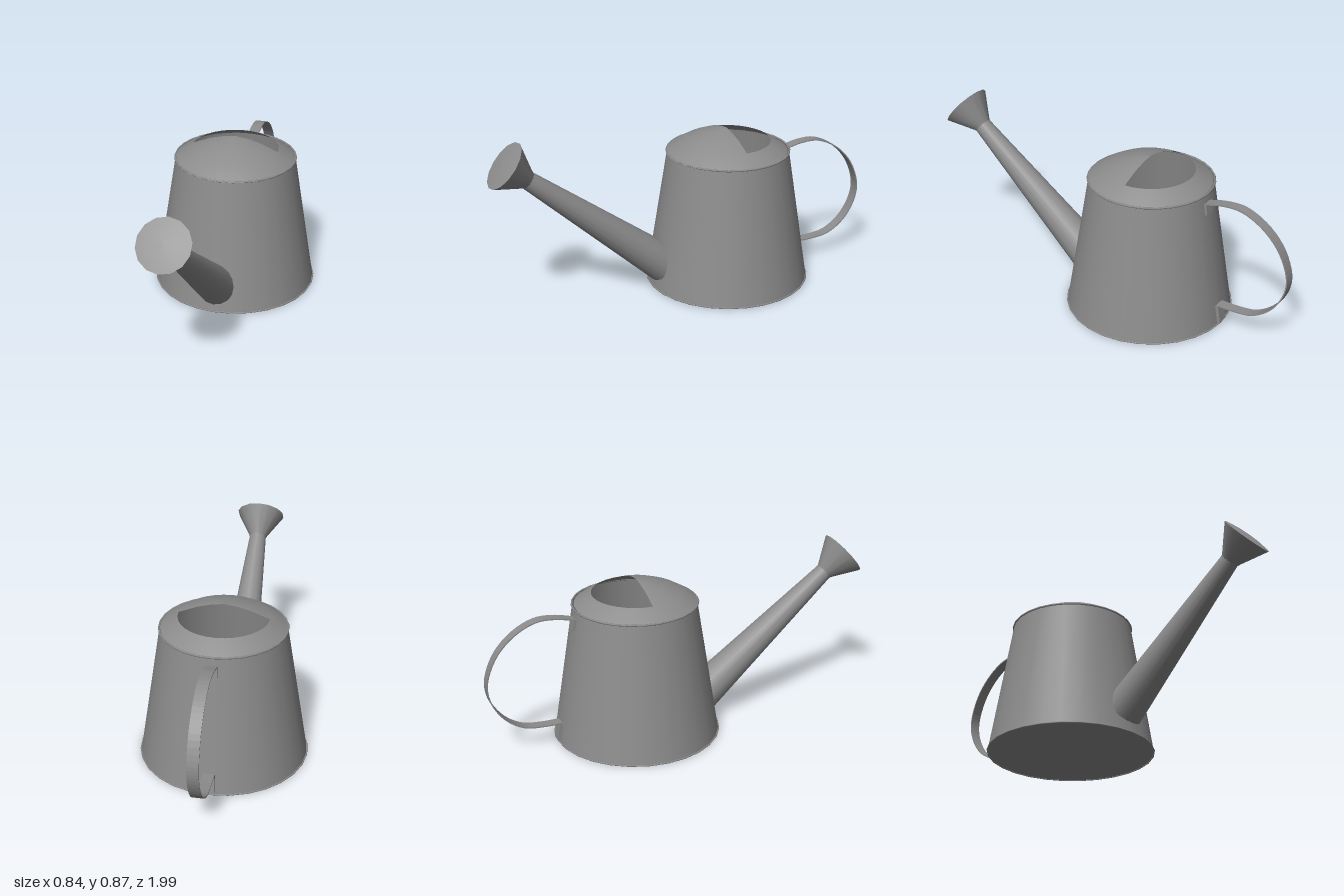
import * as THREE from 'three';

const CZ = -0.235; // centre of the can along z

export function createModel() {
  const group = new THREE.Group();
  const metal = new THREE.MeshStandardMaterial({ color: 0x8c8c8c, side: THREE.DoubleSide });
  metal.name = 'grey metal';

  const add = (name, geometry, z = 0, y = 0) => {
    const mesh = new THREE.Mesh(geometry, metal);
    mesh.name = name;
    mesh.position.set(0, y, z);
    group.add(mesh);
    return mesh;
  };
  const points = list => list.map(p => new THREE.Vector2(p[0], p[1]));

  // Tapered can with a closed floor
  add('body', new THREE.CylinderGeometry(0.305, 0.413, 0.68, 28, 1, true), CZ, 0.343);
  add('floor', new THREE.CircleGeometry(0.413, 28).rotateX(Math.PI / 2), CZ, 0.004);

  // Rolled rims
  const rim = (name, radius, tube, y) =>
    add(name, new THREE.TorusGeometry(radius, tube, 6, 28).rotateX(Math.PI / 2), CZ, y);
  rim('topRim', 0.307, 0.005, 0.684);
  rim('baseRim', 0.415, 0.004, 0.004);

  // Lid: full hood over the front half, narrow sloping collar around the rear opening
  const slope = [[0.306, 0.683], [0.265, 0.71], [0.22, 0.736]];
  const hood = [...slope, [0.13, 0.772], [0.06, 0.79], [0, 0.798]];
  add('lidHood', new THREE.LatheGeometry(points(hood).reverse(), 16, -Math.PI / 2, Math.PI), CZ + 0.008);
  add('lidCollar', new THREE.LatheGeometry(points(slope).reverse(), 16, Math.PI / 2, Math.PI), CZ + 0.008);

  // Spout and sprinkler head share one slanted axis
  const base = new THREE.Vector3(0, 0.155, 0.16);
  const tip = new THREE.Vector3(0, 0.695, 0.815);
  const axis = tip.clone().sub(base).normalize();
  const length = tip.distanceTo(base);
  const tilt = new THREE.Quaternion().setFromUnitVectors(new THREE.Vector3(0, 1, 0), axis);
  const along = (name, profile, segments) => {
    const mesh = add(name, new THREE.LatheGeometry(points(profile), segments));
    mesh.position.copy(base);
    mesh.quaternion.copy(tilt);
  };
  along('spout', [[0.098, -0.05], [0.044, length]], 16);
  along('sprinklerHead', [[0.042, length - 0.015], [0.052, length + 0.005], [0.126, length + 0.13]], 14);
  along('sprinklerFace', [[0.126, length + 0.13], [0.07, length + 0.138], [0, length + 0.141]], 14);

  // Handle: flat strap swept round a loop
  const loop = new THREE.CatmullRomCurve3([
    [-0.548, 0.643], [-0.64, 0.664], [-0.74, 0.664], [-0.85, 0.612], [-0.94, 0.52], [-0.99, 0.40],
    [-0.99, 0.32], [-0.955, 0.235], [-0.9, 0.17], [-0.82, 0.123], [-0.73, 0.111], [-0.638, 0.11],
  ].map(p => new THREE.Vector3(p[0], p[1], 0)));
  const strap = (name, path, thickness, width) => {
    const side = s => path.map((p, i) => {
      const a = path[Math.max(i - 1, 0)], b = path[Math.min(i + 1, path.length - 1)];
      const d = new THREE.Vector2(b.x - a.x, b.y - a.y).normalize();
      return new THREE.Vector2(p.x - d.y * s, p.y + d.x * s);
    });
    const shape = new THREE.Shape([...side(thickness / 2), ...side(-thickness / 2).reverse()]);
    const geometry = new THREE.ExtrudeGeometry(shape, { depth: width, bevelEnabled: false });
    add(name, geometry.translate(0, 0, -width / 2).rotateY(-Math.PI / 2));
  };
  strap('handle', loop.getPoints(48), 0.006, 0.055);

  // Tabs that fix the handle to the wall
  strap('upperTab', points([[-0.549, 0.645], [-0.558, 0.59]]), 0.012, 0.055);
  strap('lowerTab', points([[-0.638, 0.108], [-0.653, 0.018]]), 0.016, 0.055);

  return group;
}
